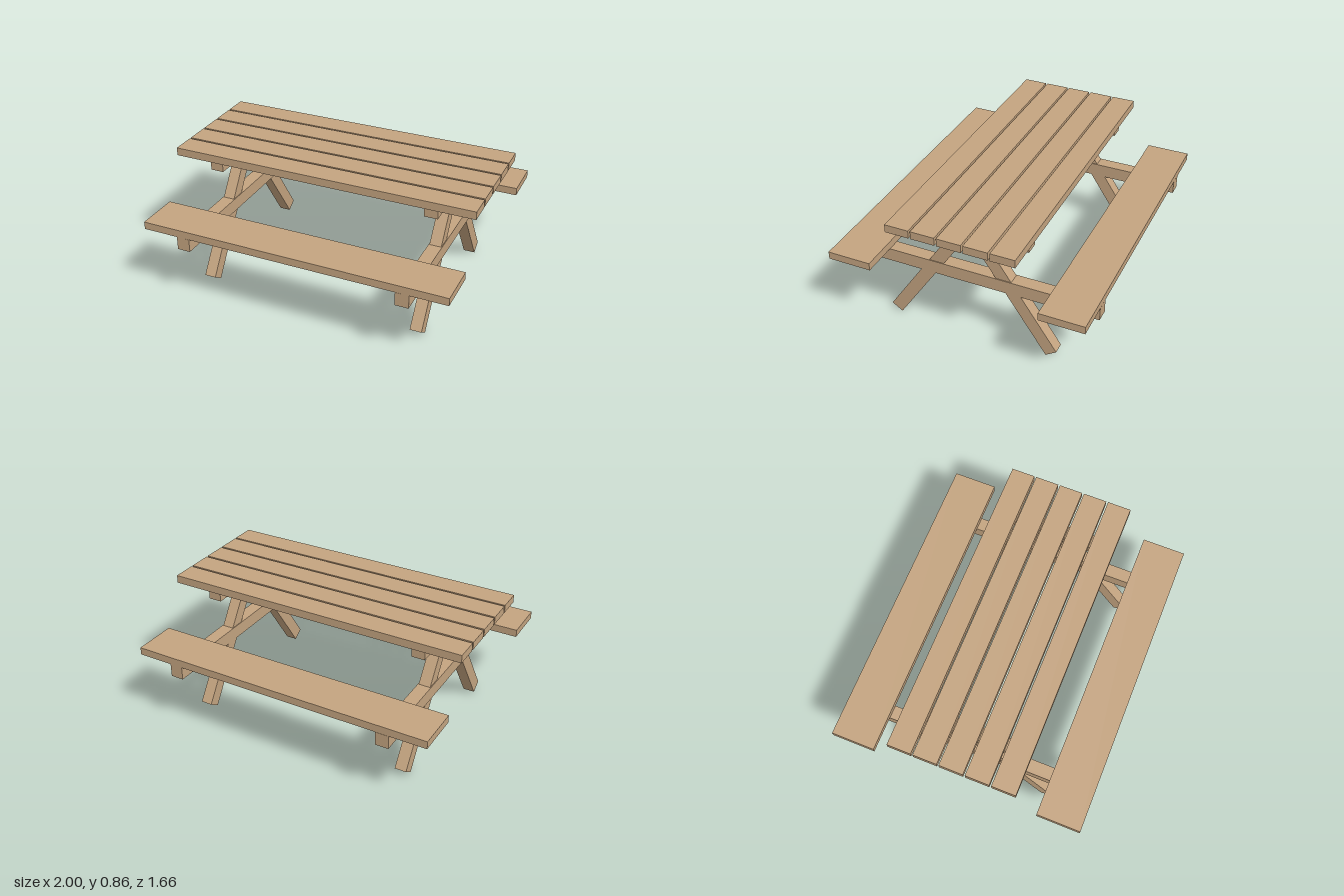
import * as THREE from 'three';

export function createModel() {
  const model = new THREE.Group();
  model.name = 'picnicTable';
  const wood = new THREE.MeshStandardMaterial({ color: 0xc4a480 });
  wood.name = 'light wood';

  const board = (name, w, h, d, x, y, z) => {
    const mesh = new THREE.Mesh(new THREE.BoxGeometry(w, h, d), wood);
    mesh.name = name;
    mesh.position.set(x, y, z);
    model.add(mesh);
    return mesh;
  };

  // Table top: five planks with narrow gaps
  for (let i = -2; i <= 2; i++) {
    board('topPlank', 2, 0.052, 0.154, 0, 0.836, i * 0.1665);
  }

  // Bench seats, front and back
  for (const s of [1, -1]) board('benchSeat', 2, 0.05, 0.285, 0, 0.512, s * 0.688);

  // Trestle at each end: top cleat, seat beam and two splayed legs
  const bottom = new THREE.Vector2(0.534, 0.0235); // z, y of the leg's end centres
  const top = new THREE.Vector2(0.026, 0.78);
  const length = bottom.distanceTo(top);
  const tilt = Math.atan2(bottom.x - top.x, top.y - bottom.y);
  for (const x of [0.722, -0.722]) {
    board('topCleat', 0.086, 0.065, 0.776, x, 0.778, 0);
    board('seatBeam', 0.086, 0.087, 1.662, x, 0.4435, 0);
    for (const s of [1, -1]) {
      const leg = board('leg', 0.076, length, 0.083, x,
        (bottom.y + top.y) / 2, s * (bottom.x + top.x) / 2);
      leg.rotation.x = -s * tilt;
    }
  }
  return model;
}
